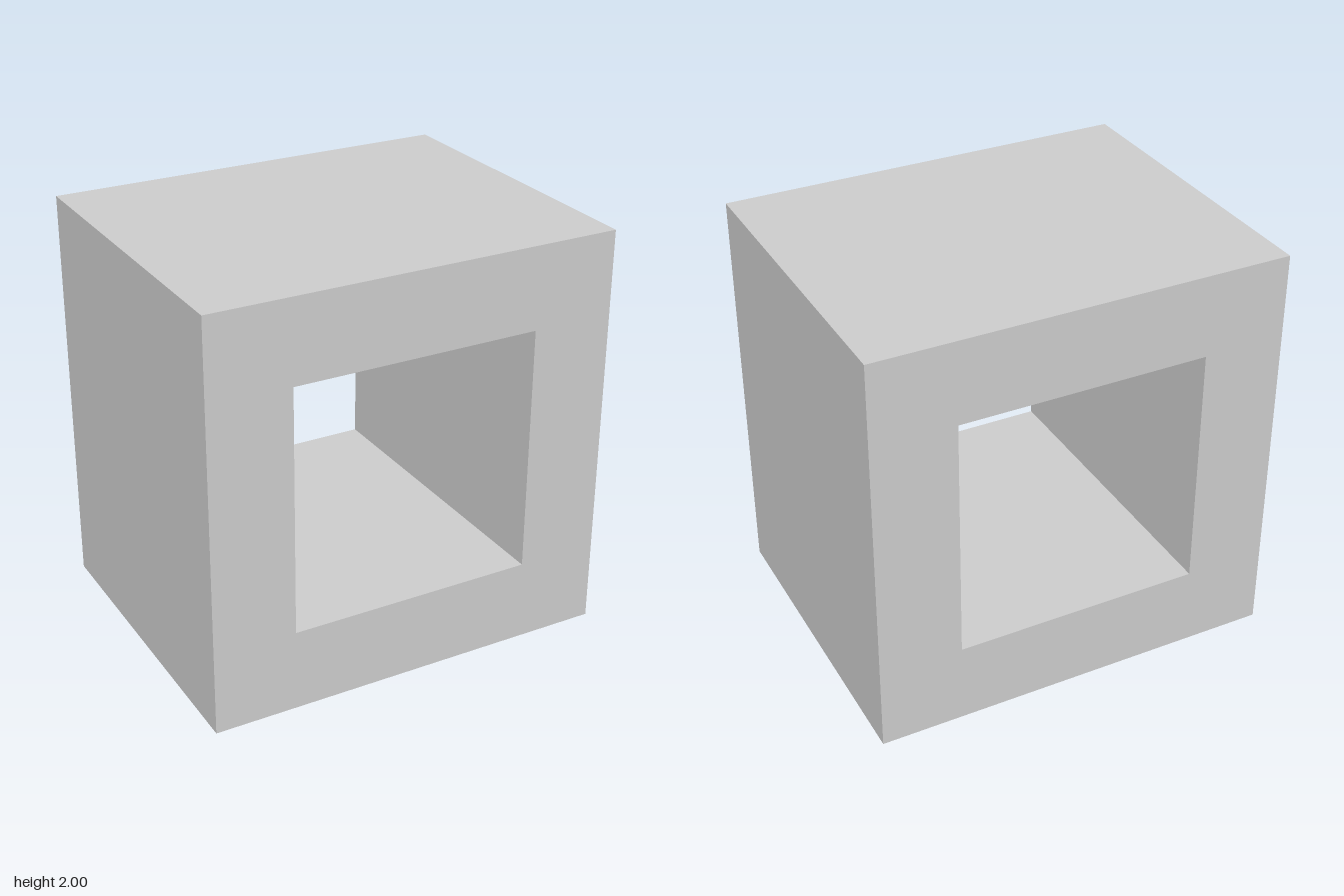
import * as THREE from 'three';

const WIDTH = 2, HEIGHT = 2, DEPTH = 1.6, OPENING = 1.2;

// Centred rectangle outline, usable as a shape or a hole
function rectangle(PathType, w, h) {
  const x = w / 2, y = h / 2;
  return new PathType([
    new THREE.Vector2(-x, -y),
    new THREE.Vector2(x, -y),
    new THREE.Vector2(x, y),
    new THREE.Vector2(-x, y),
  ]);
}

export function createModel() {
  const group = new THREE.Group();
  group.name = 'hollowBlock';

  // Square block with a square tunnel running front to back
  const profile = rectangle(THREE.Shape, WIDTH, HEIGHT);
  profile.holes.push(rectangle(THREE.Path, OPENING, OPENING));
  const geometry = new THREE.ExtrudeGeometry(profile, { depth: DEPTH, bevelEnabled: false });
  geometry.translate(0, HEIGHT / 2, -DEPTH / 2);

  const frame = new THREE.Mesh(
    geometry,
    new THREE.MeshStandardMaterial({ color: 0xcccccc, flatShading: true })
  );
  frame.name = 'squareTubeFrame';
  group.add(frame);
  return group;
}
